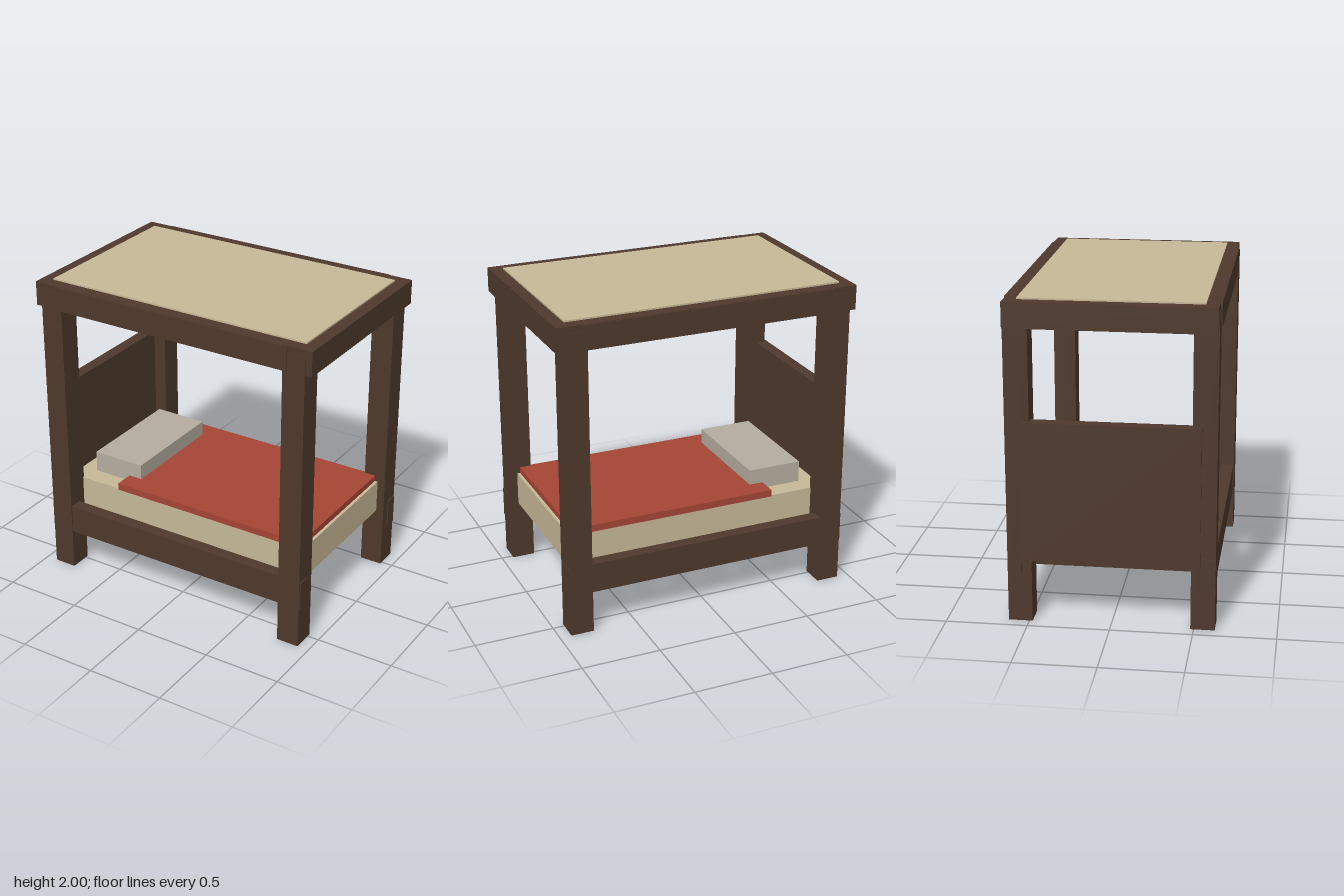
import * as THREE from 'three';

export function createModel() {
  const model = new THREE.Group();
  const mat = (name, color) => {
    const m = new THREE.MeshStandardMaterial({ color });
    m.name = name;
    return m;
  };
  const wood = mat('darkWood', 0x4e392c);
  const linen = mat('linen', 0xc7b997);
  const red = mat('redCloth', 0xa54535);
  const white = mat('pillowCloth', 0xb5ada0);

  // Box given by its lower and upper limits on each axis
  const box = (name, material, [x0, x1], [y0, y1], [z0, z1]) => {
    const mesh = new THREE.Mesh(new THREE.BoxGeometry(x1 - x0, y1 - y0, z1 - z0), material);
    mesh.position.set((x0 + x1) / 2, (y0 + y1) / 2, (z0 + z1) / 2);
    mesh.name = name;
    model.add(mesh);
  };
  const side = (s, a, b) => (s > 0 ? [a, b] : [-b, -a]);

  for (const s of [-1, 1]) {
    // Corner posts
    for (const t of [-1, 1]) box('post', wood, side(s, 0.78, 0.926), [0, 1.95], side(t, 0.48, 0.627));
    // Canopy frame, with a slightly proud face on the long sides
    box('canopyLongRail', wood, [-0.89, 0.89], [1.835, 1.99], side(s, 0.545, 0.622));
    box('canopyRailFace', wood, [-0.81, 0.81], [1.835, 1.988], side(s, 0.6, 0.632));
    box('canopyEndRail', wood, side(s, 0.89, 0.968), [1.835, 1.99], [-0.622, 0.622]);
    // Bed side rails
    box('sideRail', wood, [-0.933, 0.933], [0.265, 0.455], side(s, 0.54, 0.62));
  }

  // Slats under the mattress
  for (let i = 0; i < 7; i++) {
    const x = -0.75 + i * 0.25;
    box('slat', wood, [x - 0.05, x + 0.05], [0.32, 0.395], [-0.54, 0.54]);
  }

  box('headboard', wood, [-0.943, -0.865], [0.395, 1.265], [-0.535, 0.535]);
  box('canopyCloth', linen, [-0.89, 0.89], [1.98, 2], [-0.545, 0.545]);

  // Bedding
  box('mattress', linen, [-0.865, 0.875], [0.395, 0.61], [-0.488, 0.488]);
  box('blanket', red, [-0.495, 0.855], [0.605, 0.65], [-0.492, 0.492]);
  box('pillow', white, [-0.757, -0.403], [0.61, 0.748], [-0.365, 0.365]);

  return model;
}
